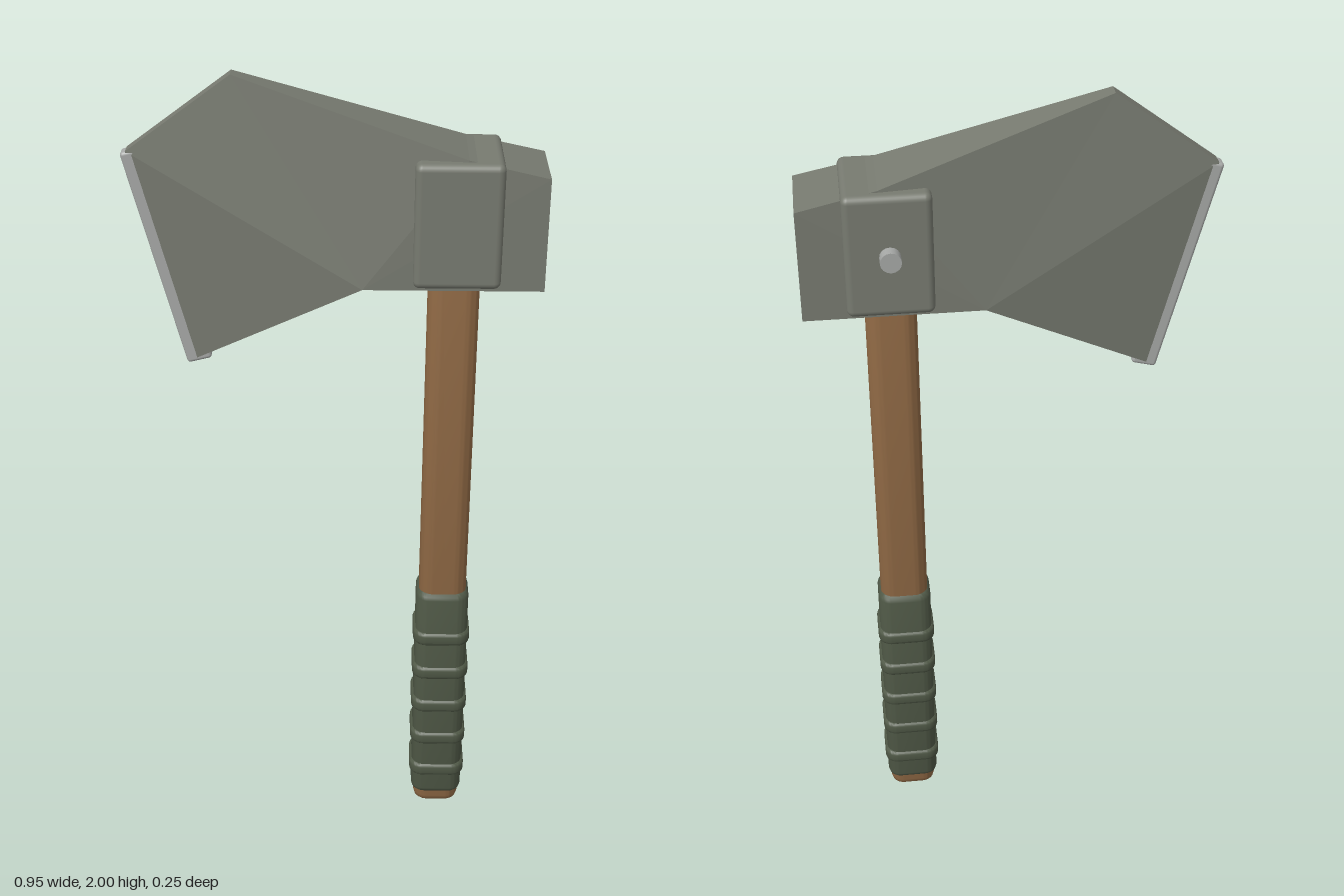
import * as THREE from 'three';
import { toCreasedNormals } from 'three/addons/utils/BufferGeometryUtils.js';
import { RoundedBoxGeometry } from 'three/addons/geometries/RoundedBoxGeometry.js';

const material = (name, color) => Object.assign(new THREE.MeshStandardMaterial({ color }), { name });

// Upright rounded-rectangle prism with bevelled ends, standing on y = 0
function roundedPost(width, depth, height, radius, bevel) {
  const x = width / 2 - bevel, y = depth / 2 - bevel, r = radius - bevel;
  const s = new THREE.Shape();
  s.absarc(x - r, y - r, r, 0, Math.PI / 2);
  s.absarc(-x + r, y - r, r, Math.PI / 2, Math.PI);
  s.absarc(-x + r, -y + r, r, Math.PI, Math.PI * 1.5);
  s.absarc(x - r, -y + r, r, Math.PI * 1.5, Math.PI * 2);
  const g = new THREE.ExtrudeGeometry(s, {
    depth: height - 2 * bevel, bevelThickness: bevel, bevelSize: bevel, bevelSegments: 3, curveSegments: 5,
  });
  g.translate(0, 0, bevel).rotateX(-Math.PI / 2);
  return toCreasedNormals(g, 0.7);
}

// Wedge head: outline points (x, y, half thickness), counter-clockwise from the front
function headGeometry() {
  const outline = [
    [0.065, 1.53, 0.0925], [0.475, 1.53, 0.0925], [0.475, 1.795, 0.0925], [0.295, 1.835, 0.0885],
    [-0.225, 2.0, 0.0185], [-0.463, 1.825, 0.0165], [-0.333, 1.315, 0.0165],
  ];
  const n = outline.length, pos = [];
  const put = (i, side) => pos.push(outline[i][0], outline[i][1], side * outline[i][2]);
  for (let i = 1; i < n - 1; i++) {
    put(0, 1); put(i, 1); put(i + 1, 1);
    put(0, -1); put(i + 1, -1); put(i, -1);
  }
  for (let i = 0; i < n; i++) {
    const j = (i + 1) % n;
    put(i, 1); put(i, -1); put(j, -1);
    put(i, 1); put(j, -1); put(j, 1);
  }
  const g = new THREE.BufferGeometry();
  g.setAttribute('position', new THREE.Float32BufferAttribute(pos, 3));
  g.computeVertexNormals();
  return g;
}

export function createModel() {
  const axe = new THREE.Group();
  axe.name = 'axe';
  const steel = material('dark steel', 0x777a70);
  const bright = material('bright steel', 0xa6a8a6);
  const wood = material('wood', 0x8d6743);
  const wrap = material('green grip', 0x4f5846);

  const add = (name, geometry, mat, x, y, z) => {
    const mesh = new THREE.Mesh(geometry, mat);
    mesh.name = name;
    mesh.position.set(x, y, z);
    axe.add(mesh);
    return mesh;
  };
  const hx = 0.275, hz = 0.019, headZ = 0.013;

  // Handle and grip
  add('handle', roundedPost(0.118, 0.104, 1.6, 0.034, 0.025), wood, hx, 0, hz);
  add('grip', roundedPost(0.132, 0.122, 0.645, 0.034, 0.018), wrap, hx, 0.04, hz);
  for (let i = 0; i < 5; i++) {
    add('gripRing', roundedPost(0.144, 0.132, 0.038, 0.034, 0.01), wrap, hx, 0.104 + i * 0.1065, hz);
  }

  // Head, collar and cutting edge
  add('head', headGeometry(), steel, 0, 0, headZ);
  add('collar', new RoundedBoxGeometry(0.197, 0.292, 0.224, 3, 0.016), steel, 0.277, 1.685, headZ);
  const edge = add('cuttingEdge', new RoundedBoxGeometry(0.06, 0.532, 0.037, 3, 0.008), bright, -0.382, 1.57, headZ);
  edge.rotation.z = 0.25;

  // Pin on the back of the collar
  const pin = new THREE.CylinderGeometry(0.024, 0.024, 0.028, 16).rotateX(Math.PI / 2);
  add('pin', pin, bright, hx, 1.688, -0.114);
  return axe;
}
